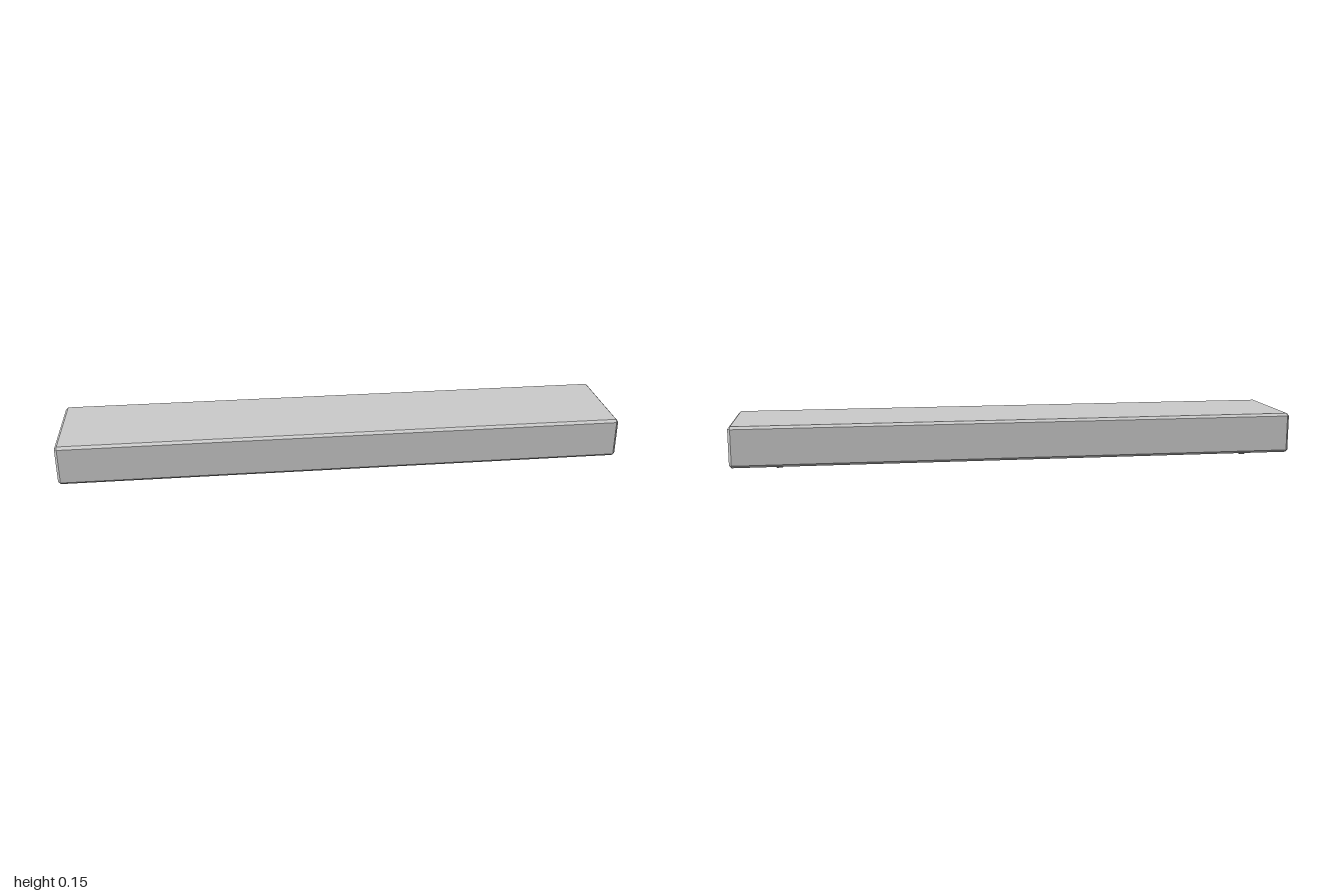
import * as THREE from 'three';
import { ConvexGeometry } from 'three/addons/geometries/ConvexGeometry.js';

const material = new THREE.MeshStandardMaterial({ color: 0xcccccc, flatShading: true });

// Box between y0 and y1 with every edge cut by a flat chamfer c
function chamferedBox(name, width, y0, y1, depth, c) {
  const half = [width / 2, (y1 - y0) / 2, depth / 2];
  const points = [];
  for (const sx of [-1, 1]) for (const sy of [-1, 1]) for (const sz of [-1, 1]) {
    for (let full = 0; full < 3; full++) {
      const [x, y, z] = half.map((h, axis) => (axis === full ? h : h - c));
      points.push(new THREE.Vector3(sx * x, sy * y, sz * z));
    }
  }
  const mesh = new THREE.Mesh(new ConvexGeometry(points), material);
  mesh.name = name;
  mesh.position.y = (y0 + y1) / 2;
  return mesh;
}

export function createModel() {
  const group = new THREE.Group();
  group.name = 'slab';

  // Long main block
  group.add(chamferedBox('body', 2, 0.008, 0.152, 0.352, 0.009));

  // Shallow plate under the block
  group.add(chamferedBox('basePlate', 1.83, 0.004, 0.02, 0.304, 0.004));

  // Narrow cross rails near both ends
  for (const side of [-1, 1]) {
    const rail = chamferedBox(side > 0 ? 'leftRail' : 'rightRail', 0.034, 0, 0.024, 0.304, 0.008);
    rail.position.x = side * 0.833;
    group.add(rail);
  }
  return group;
}
